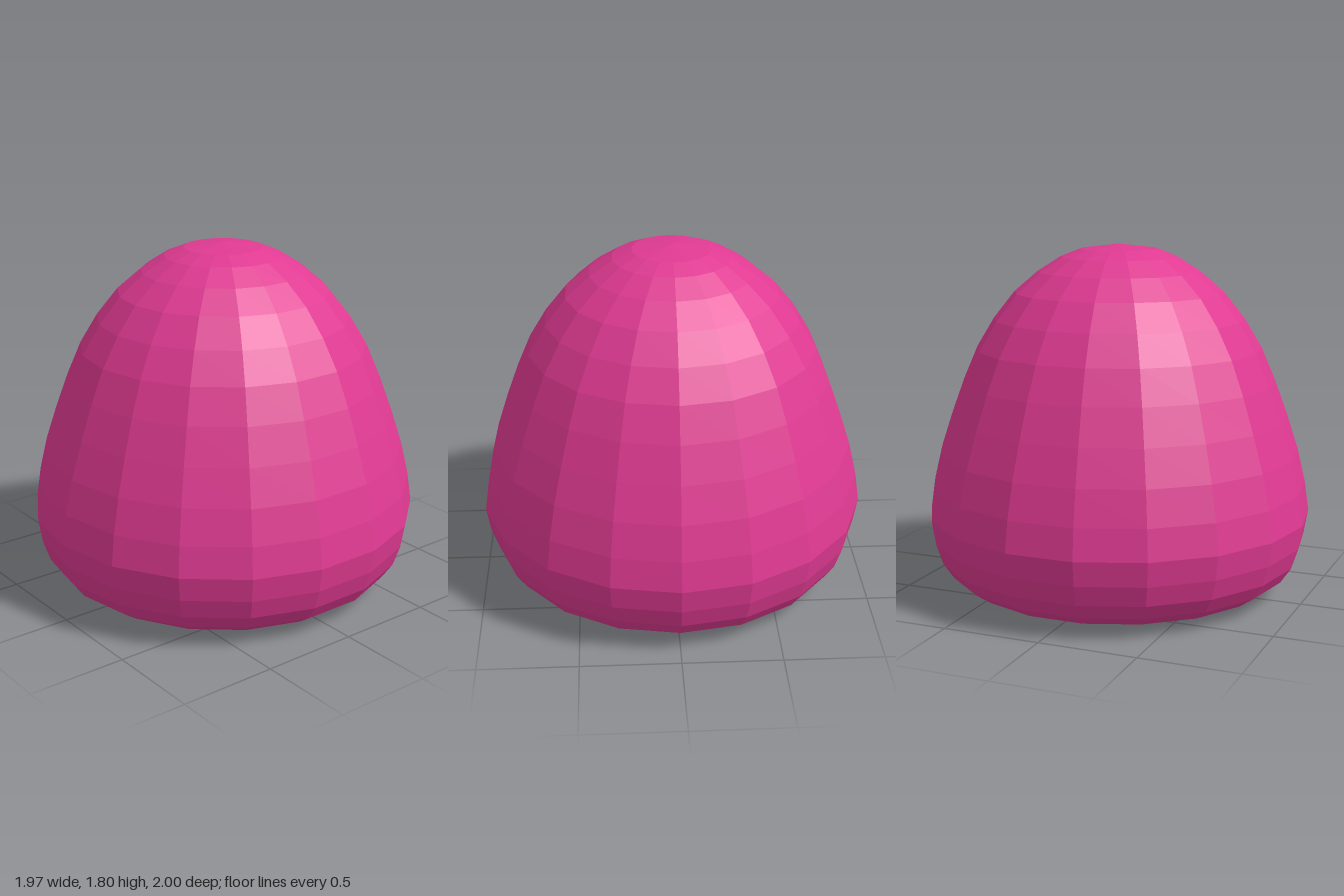
import * as THREE from 'three';

export function createModel() {
  const group = new THREE.Group();
  group.name = 'gumdrop';

  // Profile from the bottom centre up to the crown: [radius, height]
  const profile = [
    [0, 0], [0.64, 0.02], [0.81, 0.045], [0.89, 0.1], [0.945, 0.18], [0.98, 0.285],
    [1, 0.41], [0.977, 0.565], [0.935, 0.74], [0.876, 0.92], [0.81, 1.1], [0.737, 1.27],
    [0.647, 1.42], [0.54, 1.555], [0.418, 1.66], [0.3, 1.735], [0.2, 1.775], [0, 1.8],
  ].map(([r, y]) => new THREE.Vector2(r, y));

  // Faceted 18-sided dome with a rounded foot
  const body = new THREE.Mesh(
    new THREE.LatheGeometry(profile, 18),
    new THREE.MeshStandardMaterial({ color: 0xe03a92, flatShading: true })
  );
  body.name = 'domeBody';
  group.add(body);

  return group;
}
